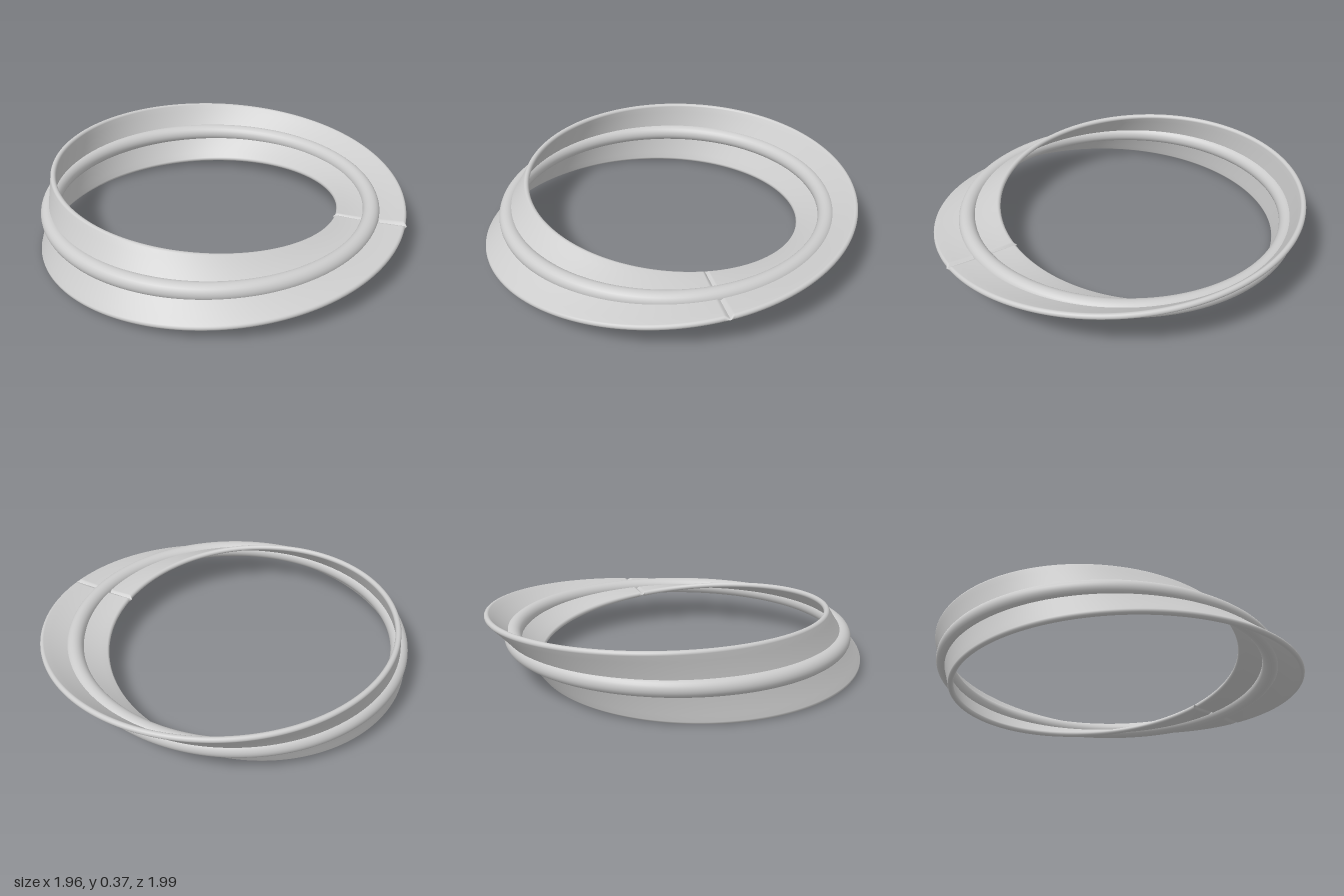
import * as THREE from 'three';

const R = 0.86, CENTER_X = -0.075, CENTER_Y = 0.183, HALF_WIDTH = 0.183;

// Closed band section: slightly hollow faces, rounded rims; u = width, v = thickness
function bandSection() {
  const half = [];
  const rim = 0.015;
  for (let i = 0; i <= 8; i++) {
    const a = -Math.PI / 2 + (Math.PI * i) / 8;
    half.push([HALF_WIDTH - rim + rim * Math.cos(a), rim * Math.sin(a)]);
  }
  for (let i = 1; i < 10; i++) {
    const s = 1 - (2 * i) / 10;
    half.push([s * (HALF_WIDTH - rim), 0.010 + 0.005 * s * s]);
  }
  return [...half, ...half.map(([u, v]) => [-u, -v])];
}

// Sweep the section round the ring while it makes half a turn
function twistedBand() {
  const section = bandSection();
  const K = section.length, N = 240, near = [0, 0.005, 0.01, 0.016, 0.022];
  const angles = [...near];
  for (let i = 1; i < N; i++) angles.push((2 * Math.PI * i) / N);
  angles.push(...near.map((a) => 2 * Math.PI - a).reverse());
  const pos = [], index = [];
  angles.forEach((t) => {
    // The band pinches to a narrow groove where its ends meet
    const d = Math.min(t, 2 * Math.PI - t);
    const k = Math.min(1, d / 0.018);
    const thick = 0.15 + 0.85 * k, wide = 1 + 0.05 * (1 - k);
    const c = Math.cos(t / 2), s = Math.sin(t / 2);
    section.forEach(([u0, v0]) => {
      const u = u0 * wide, v = v0 * thick;
      const r = R + u * c + v * s;
      pos.push(r * Math.cos(t), -u * s + v * c, r * Math.sin(t));
    });
  });
  for (let i = 0; i < angles.length - 1; i++) {
    for (let j = 0; j < K; j++) {
      const a = i * K + j, b = i * K + ((j + 1) % K);
      index.push(a, b, a + K, b, b + K, a + K);
    }
  }
  const geo = new THREE.BufferGeometry();
  geo.setAttribute('position', new THREE.Float32BufferAttribute(pos, 3));
  geo.setIndex(index);
  geo.computeVertexNormals();
  return geo;
}

export function createModel() {
  const model = new THREE.Group();
  model.name = 'twistedRing';
  const grey = new THREE.MeshStandardMaterial({ color: 0xcccccc });
  grey.name = 'light grey';

  const band = new THREE.Mesh(twistedBand(), grey);
  band.name = 'twistedBand';

  // Round bead along the centre line of the band
  const bead = new THREE.Mesh(new THREE.TorusGeometry(R, 0.045, 24, 200), grey);
  bead.geometry.rotateX(Math.PI / 2);
  bead.name = 'centreBead';

  for (const part of [band, bead]) {
    part.position.set(CENTER_X, CENTER_Y, 0);
    model.add(part);
  }
  return model;
}
